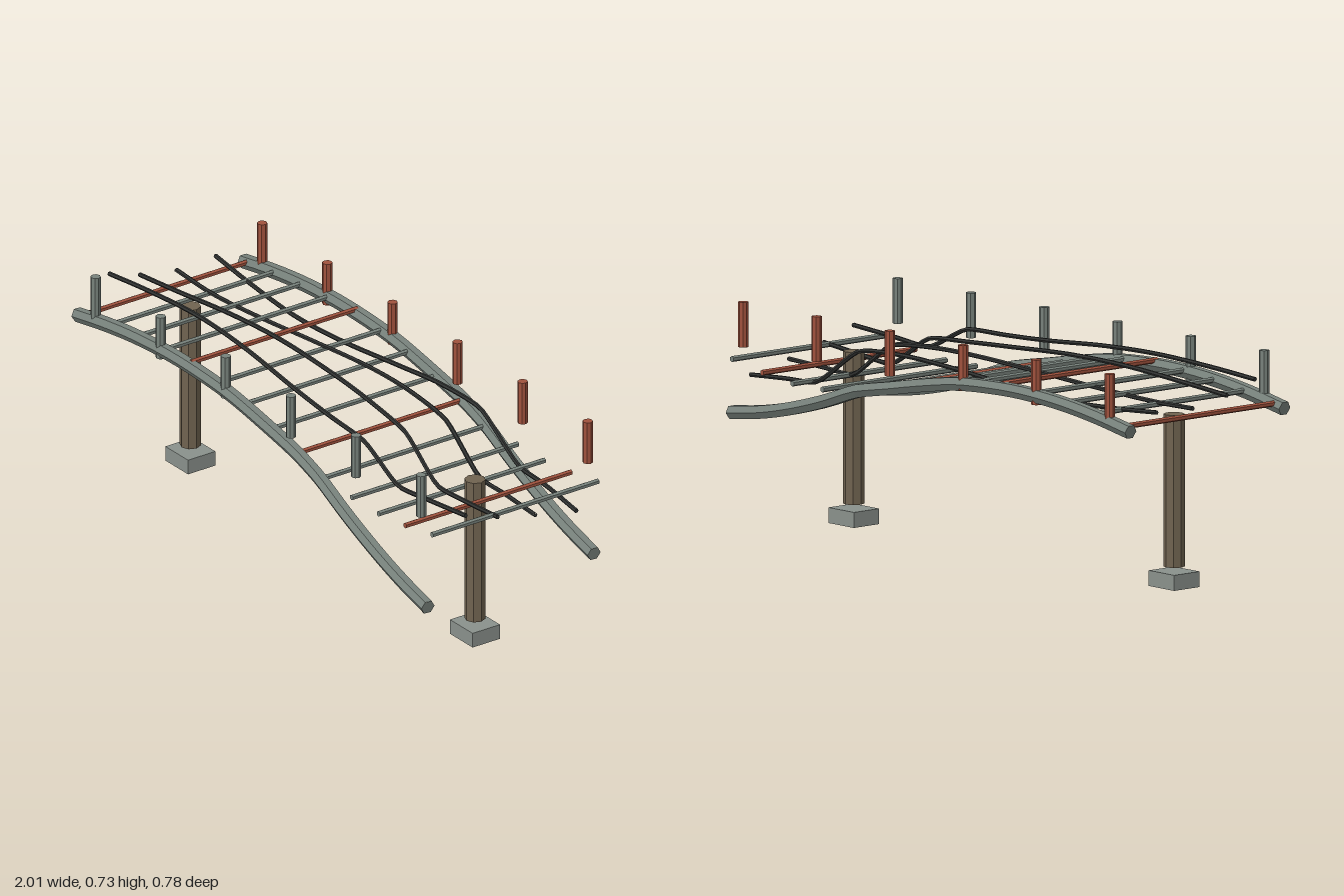
import * as THREE from 'three';

const mat = (name, color) => {
  const m = new THREE.MeshStandardMaterial({ color, flatShading: true });
  m.name = name;
  return m;
};

export function createModel() {
  const model = new THREE.Group();
  model.name = 'brokenWalkway';
  const steel = mat('weathered steel', 0x78827c);
  const rust = mat('rust', 0xa0523d);
  const cable = mat('dark cable', 0x303231);
  const timber = mat('timber', 0x706350);
  const concrete = mat('concrete', 0x8a918c);

  const add = (name, geometry, material, x = 0, y = 0, z = 0) => {
    const mesh = new THREE.Mesh(geometry, material);
    mesh.name = name;
    mesh.position.set(x, y, z);
    model.add(mesh);
    return mesh;
  };

  // Capped tube through a handful of points
  const pipe = (name, points, radius, segments, sides, material) => {
    const curve = new THREE.CatmullRomCurve3(points.map((p) => new THREE.Vector3(...p)));
    add(name, new THREE.TubeGeometry(curve, segments, radius, sides), material);
    for (const [t, dir] of [[0, -1], [1, 1]]) {
      const p = curve.getPointAt(t);
      const cap = add(name + 'End', new THREE.CircleGeometry(radius, sides), material, p.x, p.y, p.z);
      cap.lookAt(p.clone().addScaledVector(curve.getTangentAt(t), dir));
    }
  };

  // Side rails: arched, then sagging and drifting sideways at the broken end
  const railProfile = [
    [-1, 0.555], [-0.84, 0.583], [-0.68, 0.603], [-0.5, 0.614], [-0.35, 0.613], [-0.18, 0.602],
    [0, 0.573], [0.15, 0.544], [0.2, 0.535], [0.32, 0.511], [0.35, 0.502], [0.5, 0.452], [0.7, 0.398],
    [0.85, 0.367], [1, 0.345],
  ];
  for (const [name, z] of [['leftSideRail', 0.28], ['rightSideRail', -0.37]]) {
    const points = railProfile.map(([x, y]) => [x, y, z + Math.max(0, x - 0.17) * 0.102]);
    pipe(name, points, 0.024, 40, 6, steel);
  }

  // Cross bars, every fourth one rusted
  const barHeights = [
    0.568, 0.59, 0.606, 0.617, 0.63, 0.615, 0.597, 0.567, 0.54, 0.51, 0.497, 0.497, 0.513, 0.538,
  ];
  barHeights.forEach((y, i) => {
    const bar = add('crossBar', new THREE.CylinderGeometry(0.0095, 0.0095, 0.65, 6),
      i % 4 === 0 ? rust : steel, -0.965 + i * 0.1438, y, -0.045);
    bar.rotation.x = Math.PI / 2;
  });

  // Upright stanchions along both edges
  for (let i = 0; i < 6; i++) {
    for (const [z, material] of [[0.282, steel], [-0.37, rust]]) {
      add('stanchion', new THREE.CylinderGeometry(0.0165, 0.0165, 0.145, 8), material,
        -0.9 + i * 0.35, 0.657, z);
    }
  }

  // Wavy cables that drop sharply near the broken end: [y, z] at each station
  const stations = [-1, -0.8, -0.55, -0.3, 0, 0.2, 0.39, 0.42, 0.57, 0.6, 0.75, 0.93];
  const cables = [
    [[0.605, -0.26], [0.59, -0.25], [0.58, -0.24], [0.592, -0.24], [0.618, -0.253], [0.63, -0.268],
      [0.622, -0.278], [0.61, -0.279], [0.508, -0.284], [0.494, -0.284], [0.486, -0.281], [0.473, -0.268]],
    [[0.6, -0.107], [0.597, -0.102], [0.608, -0.112], [0.625, -0.127], [0.642, -0.143], [0.642, -0.145],
      [0.625, -0.14], [0.614, -0.139], [0.514, -0.131], [0.5, -0.129], [0.503, -0.12], [0.505, -0.107]],
    [[0.625, 0.037], [0.642, 0.03], [0.662, 0.015], [0.668, 0.001], [0.655, -0.004], [0.643, 0.003],
      [0.628, 0.018], [0.618, 0.02], [0.528, 0.032], [0.516, 0.033], [0.525, 0.038], [0.541, 0.04]],
    [[0.663, 0.156], [0.678, 0.145], [0.688, 0.136], [0.68, 0.141], [0.656, 0.157], [0.645, 0.168],
      [0.638, 0.176], [0.63, 0.177], [0.56, 0.18], [0.554, 0.18], [0.567, 0.175], [0.582, 0.165]],
  ];
  for (const c of cables) {
    pipe('cable', c.map(([y, z], i) => [stations[i], y, z]), 0.0075, 60, 6, cable);
  }

  // Support posts on footings
  for (const x of [-0.84, 0.69]) {
    add('supportPost', new THREE.CylinderGeometry(0.034, 0.034, 0.49, 8), timber, x, 0.31, -0.045);
    add('footing', new THREE.BoxGeometry(0.122, 0.05, 0.107), concrete, x, 0.025, -0.045);
  }

  return model;
}
